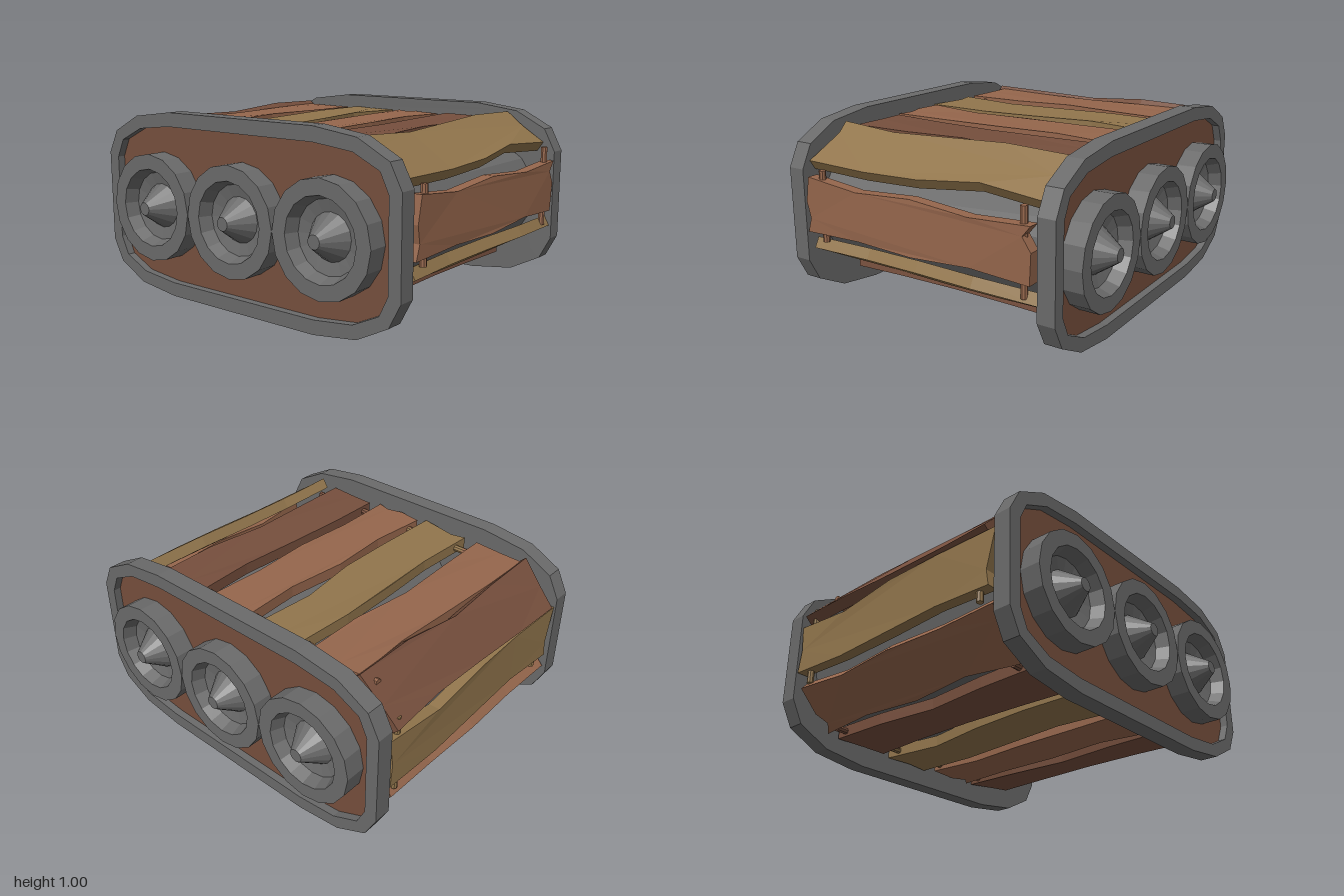
import * as THREE from 'three';

const GREY = 0x6a6a6a, RED = 0x95664c, DARK = 0x764f3d, OCHRE = 0x91754c;
const material = (color) => new THREE.MeshStandardMaterial({ color, flatShading: true });

function addMesh(parent, geometry, color, name) {
  const mesh = new THREE.Mesh(geometry, material(color));
  mesh.name = name;
  parent.add(mesh);
  return mesh;
}

// Long octagon-like outline from one quarter, mirrored four ways, counter-clockwise
function outline(quarter) {
  const back = [...quarter].reverse();
  const pts = [
    ...quarter,
    ...back.map(([z, y]) => [z, -y]),
    ...quarter.map(([z, y]) => [-z, -y]),
    ...back.map(([z, y]) => [-z, y]),
  ];
  return pts.reverse().map(([z, y]) => new THREE.Vector2(z, y));
}
const OUTER = [[0.49, 0.5], [0.745, 0.467], [0.922, 0.375], [0.987, 0.25]];
const INNER = [[0.49, 0.425], [0.72, 0.4], [0.87, 0.328], [0.918, 0.228]];

// Slab with its outline in the z-y plane, between two distances from the middle on one side
function sideSlab(shape, side, near, far) {
  const depth = far - near;
  const g = new THREE.ExtrudeGeometry(shape, { depth, bevelEnabled: false });
  g.rotateY(-Math.PI / 2); // shape x -> z, depth -> -x
  return g.translate(side > 0 ? far : -near, 0.5, -0.006);
}

// Rough plank outlines (x across, y along the belt), running clockwise from the top left
const PLANKS = {
  notched: [[-0.67, 0.155], [-0.35, 0.12], [0, 0.145], [0.35, 0.12], [0.69, 0.14], [0.645, 0.085],
    [0.69, 0.015], [0.68, -0.145], [0.35, -0.125], [0, -0.148], [-0.35, -0.138], [-0.7, -0.148],
    [-0.675, -0.07], [-0.695, 0.02]],
  plain: [[-0.66, 0.155], [-0.35, 0.15], [0, 0.138], [0.35, 0.13], [0.68, 0.152], [0.685, 0.02],
    [0.7, -0.155], [0.35, -0.158], [0, -0.118], [-0.35, -0.14], [-0.69, -0.15], [-0.67, 0.02]],
  flared: [[-0.68, 0.145], [-0.33, 0.125], [0, 0.145], [0.35, 0.162], [0.71, 0.148],
    [0.695, 0.02], [0.715, -0.13], [0.35, -0.098], [0, -0.15], [-0.33, -0.16], [-0.715, -0.152], [-0.665, 0.06]],
};

function plankGeometry(kind) {
  const depth = 0.062;
  const shape = new THREE.Shape(PLANKS[kind].map(([x, y]) => new THREE.Vector2(x, y)));
  const g = new THREE.ExtrudeGeometry(shape, { depth, bevelEnabled: false });
  g.translate(0, 0, -depth / 2).rotateX(-Math.PI / 2);
  // Slight warp through the thickness
  const p = g.attributes.position;
  for (let i = 0; i < p.count; i++) {
    p.setY(i, p.getY(i) + 0.005 * Math.sin(p.getX(i) * 4.5 + p.getZ(i) * 5));
  }
  return g;
}

// Belt order: z, y, tilt in degrees, outline, colour
const BELT = [
  [-0.62, 0.895, 0, 'plain', RED],
  [-0.25, 0.895, 0, 'flared', OCHRE],
  [0.09, 0.895, 0, 'notched', RED],
  [0.445, 0.895, 0, 'plain', DARK],
  [0.79, 0.85, 34, 'flared', OCHRE],
  [0.957, 0.565, 90, 'notched', RED],
  [0.825, 0.285, 151, 'flared', OCHRE],
  [0.51, 0.145, 173, 'plain', DARK],
  [0.165, 0.125, 180, 'notched', RED],
  [-0.185, 0.125, 180, 'flared', OCHRE],
  [-0.535, 0.13, 180, 'plain', DARK],
  [-0.85, 0.225, 222, 'notched', RED],
  [-0.955, 0.545, 270, 'flared', OCHRE],
  [-0.869, 0.816, 313, 'plain', DARK],
];

export function createModel() {
  const model = new THREE.Group();
  model.name = 'plankTrack';

  // Side frames: rim, grey backing and recessed wooden panel
  for (const side of [-1, 1]) {
    const frame = new THREE.Group();
    frame.name = side > 0 ? 'leftSide' : 'rightSide';
    const rim = new THREE.Shape(outline(OUTER));
    rim.holes.push(new THREE.Path(outline(INNER)));
    const inner = new THREE.Shape(outline(INNER));
    addMesh(frame, sideSlab(rim, side, 0.717, 0.812), GREY, 'frameRim');
    addMesh(frame, sideSlab(inner, side, 0.717, 0.745), GREY, 'frameBacking');
    addMesh(frame, sideSlab(inner, side, 0.745, 0.77), DARK, 'sidePanel');
    model.add(frame);
  }

  // Rollers running the full width, with dished ends and pointed hubs
  const half = [[0.29, 0.88], [0.21, 0.88], [0.185, 0.81], [0.12, 0.795], [0.035, 0.92], [0, 0.92]];
  const profile = [
    ...[...half].reverse().map(([r, x]) => new THREE.Vector2(r, -x)),
    ...half.map(([r, x]) => new THREE.Vector2(r, x)),
  ];
  for (const z of [-0.585, -0.003, 0.578]) {
    const roller = new THREE.LatheGeometry(profile, 16).rotateZ(-Math.PI / 2);
    addMesh(model, roller, GREY, 'roller').position.set(0, 0.49, z);
  }

  // Belt of rough planks; the square-set ones carry pegs jutting past their long edges
  const belt = new THREE.Group();
  belt.name = 'plankBelt';
  for (const [z, y, tilt, kind, color] of BELT) {
    const link = new THREE.Group();
    link.name = 'beltLink';
    addMesh(link, plankGeometry(kind), color, 'plank');
    if (tilt % 90 === 0) {
      for (const [x, length] of [[-0.6, 0.385], [0.635, 0.44]]) {
        const peg = new THREE.CylinderGeometry(0.018, 0.018, length, 8).rotateX(Math.PI / 2);
        addMesh(link, peg, color, 'linkPeg').position.x = x;
      }
    }
    link.position.set(0, y, z);
    link.rotation.x = THREE.MathUtils.degToRad(tilt);
    belt.add(link);
  }
  model.add(belt);

  return model;
}
